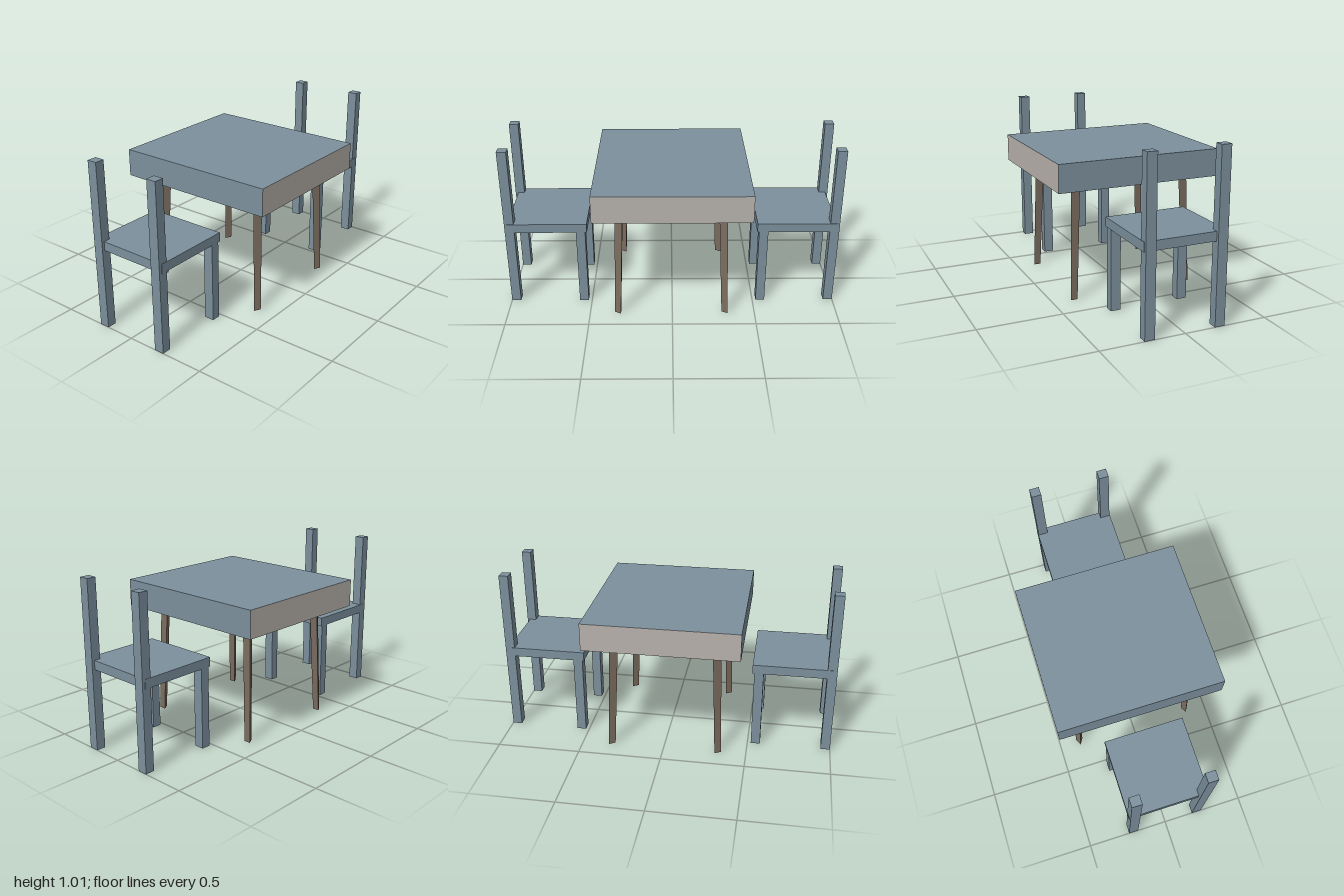
import * as THREE from 'three';

const paint = (name, color) =>
  new THREE.MeshStandardMaterial({ name, color, side: THREE.DoubleSide });

// Box from its lower and upper corners; an open box has no bottom face
function boxBetween(name, min, max, material, open = false) {
  const size = max.map((v, i) => v - min[i]);
  const geometry = new THREE.BoxGeometry(...size);
  if (open) {
    const index = Array.from(geometry.index.array);
    index.splice(18, 6);
    geometry.setIndex(index);
    geometry.clearGroups();
    [0, 1, 2, 4, 5].forEach((side, i) => geometry.addGroup(i * 6, 6, side));
  }
  const mesh = new THREE.Mesh(geometry, material);
  mesh.name = name;
  mesh.position.set(...max.map((v, i) => (v + min[i]) / 2));
  return mesh;
}

// Three-sided tapered leg, sheared so that it splays outwards
function splayedLeg(sx, sz, material) {
  const height = 0.78;
  const geometry = new THREE.CylinderGeometry(0.032, 0.0245, height, 3).toNonIndexed();
  const p = geometry.attributes.position;
  for (let i = 0; i < p.count; i++) {
    const t = p.getY(i) / height + 0.5;
    p.setXYZ(
      i,
      p.getX(i) + sx * (0.369 - 0.028 * t),
      t * height,
      p.getZ(i) + sz * (0.325 - 0.026 * t)
    );
  }
  geometry.computeVertexNormals();
  const leg = new THREE.Mesh(geometry, material);
  leg.name = 'tableLeg';
  return leg;
}

function createTable(blue, beige, brown) {
  const table = new THREE.Group();
  table.name = 'table';
  // Hollow top with pale end panels
  table.add(boxBetween('tableTop', [-0.498, 0.685, -0.455], [0.498, 0.85, 0.455],
    [beige, beige, blue, blue, blue, blue], true));
  for (const sx of [-1, 1])
    for (const sz of [-1, 1]) table.add(splayedLeg(sx, sz, brown));
  return table;
}

function createChair(blue) {
  const chair = new THREE.Group();
  chair.name = 'chair';
  const sides = Array(6).fill(blue);
  chair.add(boxBetween('seat', [-0.245, 0.485, 0.51], [0.245, 0.54, 0.983], blue));
  for (const x of [-0.242, 0.182]) {
    // Tall back post and short front leg, hollow underneath
    chair.add(boxBetween('backPost', [x, 0, 0.944], [x + 0.06, 1.006, 1], sides, true));
    chair.add(boxBetween('frontLeg', [x, 0, 0.521], [x + 0.06, 0.486, 0.576], sides, true));
  }
  return chair;
}

export function createModel() {
  const blue = paint('slate blue', 0x7c909d);
  const beige = paint('pale beige', 0xb8b2ac);
  const brown = paint('wood brown', 0x7b6c5f);

  const model = new THREE.Group();
  model.name = 'tableAndChairs';
  model.add(createTable(blue, beige, brown));

  // Two chairs facing each other across the table
  const frontChair = createChair(blue);
  frontChair.name = 'frontChair';
  const backChair = createChair(blue);
  backChair.name = 'backChair';
  backChair.rotation.y = Math.PI;
  model.add(frontChair, backChair);
  return model;
}
